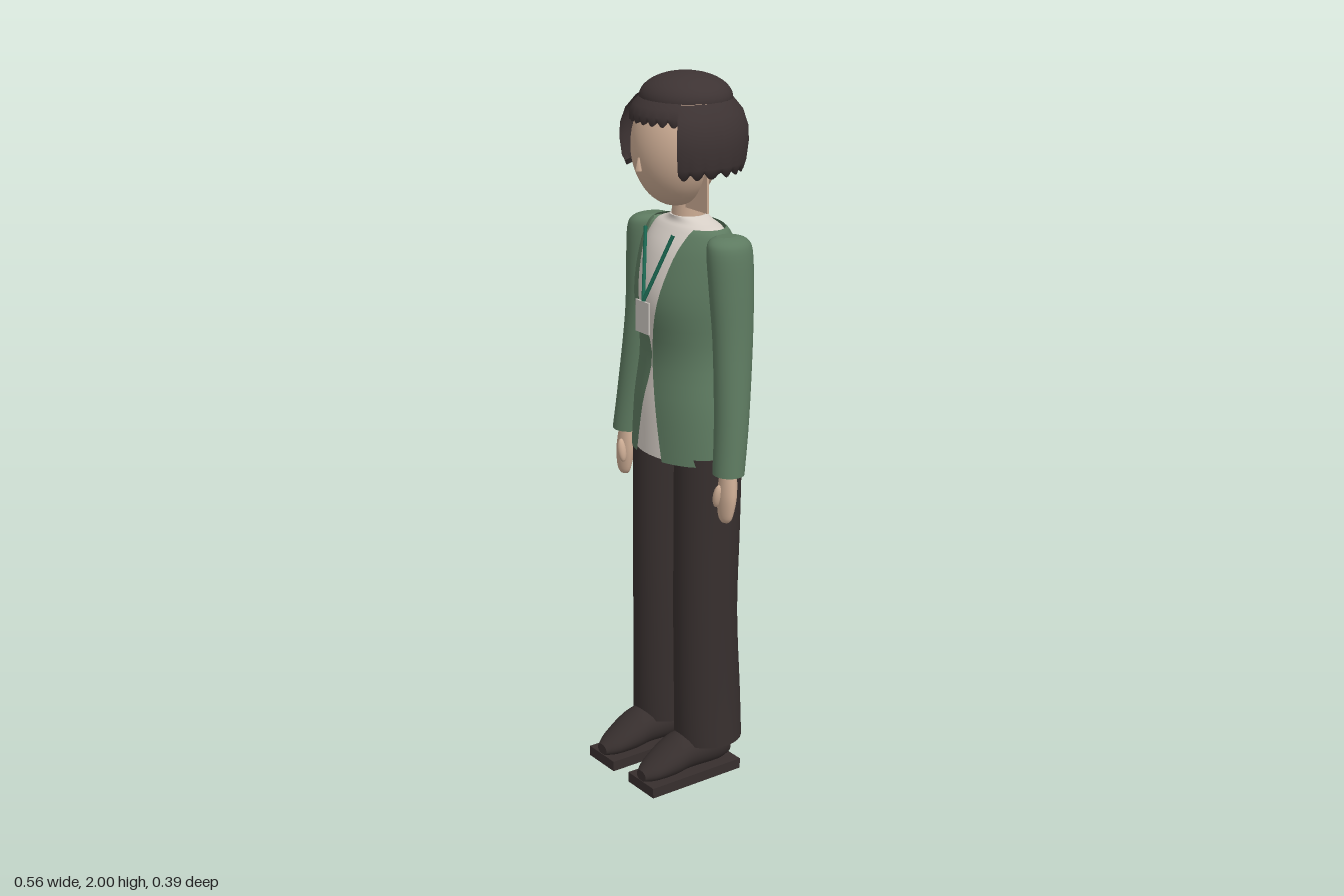
import * as THREE from 'three';

const mat = (name, color, side = THREE.FrontSide) => {
  const m = new THREE.MeshStandardMaterial({ color, side });
  m.name = name;
  return m;
};

const spline = (a, b, c, d, t) =>
  0.5 * (2 * b + (c - a) * t + (2 * a - 5 * b + 4 * c - d) * t * t + (3 * b - a - 3 * c + d) * t * t * t);

// Adds smooth in-between sections
function refine(rows, steps = 4) {
  const out = [], at = i => rows[Math.min(Math.max(i, 0), rows.length - 1)];
  for (let i = 0; i < rows.length - 1; i++)
    for (let k = 0; k < steps; k++)
      out.push(rows[i].map((v, c) => spline(at(i - 1)[c], v, at(i + 1)[c], at(i + 2)[c], k / steps)));
  out.push(rows[rows.length - 1]);
  return out;
}

// Skins elliptical sections [y, centreX, centreZ, radiusX, radiusZ, ...]; angle 0 faces the front
function loft(rows, { segs = 28, arc = () => [0, Math.PI * 2], open = false, caps = true, shape } = {}) {
  const pos = [], idx = [], cols = open ? segs + 1 : segs;
  const point = (row, i, j) => {
    const [a0, a1] = arc(row);
    const a = a0 + (a1 - a0) * j / segs;
    const p = [row[1] + row[3] * Math.sin(a), row[0], row[2] + row[4] * Math.cos(a)];
    return shape ? shape(p, a, row, i) : p;
  };
  rows.forEach((row, i) => { for (let j = 0; j < cols; j++) pos.push(...point(row, i, j)); });
  for (let i = 0; i < rows.length - 1; i++)
    for (let j = 0; j < segs; j++) {
      const a = i * cols + j, b = i * cols + (j + 1) % cols, c = a + cols, d = b + cols;
      idx.push(a, b, c, b, d, c);
    }
  if (caps && !open)
    for (const i of [0, rows.length - 1]) {
      const base = pos.length / 3, r = rows[i];
      for (let j = 0; j < segs; j++) pos.push(...point(r, i, j));
      pos.push(r[1], r[0], r[2]);
      for (let j = 0; j < segs; j++) {
        const a = base + j, b = base + (j + 1) % segs;
        i ? idx.push(a, b, base + segs) : idx.push(b, a, base + segs);
      }
    }
  const g = new THREE.BufferGeometry();
  g.setAttribute('position', new THREE.Float32BufferAttribute(pos, 3));
  g.setIndex(idx);
  g.computeVertexNormals();
  return g;
}

export function createModel() {
  const root = new THREE.Group();
  root.name = 'standingWoman';
  const skin = mat('skin', 0xcbab93);
  const hair = mat('hair', 0x3d3333, THREE.DoubleSide);
  const dark = mat('trousers', 0x372f2e);
  const green = mat('jacket', 0x5d7a60, THREE.DoubleSide);
  const cream = mat('blouse', 0xd6cec6);
  const teal = mat('lanyard', 0x1c6b54);
  const card = mat('badge', 0xc6c1bb);
  const add = (name, geo, material, x = 0, y = 0, z = 0) => {
    const m = new THREE.Mesh(geo, material);
    m.name = name;
    m.position.set(x, y, z);
    root.add(m);
    return m;
  };

  // Head, nose, jaw plate and neck
  add('head', new THREE.SphereGeometry(1, 32, 24).scale(0.124, 0.162, 0.115), skin, 0, 1.81, 0.005);
  add('nose', new THREE.CylinderGeometry(0.003, 0.011, 0.035, 4), skin, 0, 1.772, 0.122);
  add('jawPlate', new THREE.BoxGeometry(0.25, 0.15, 0.006), skin, 0, 1.72, -0.01);
  add('neck', new THREE.CylinderGeometry(0.043, 0.047, 0.14, 24), skin, 0, 1.65, -0.04);

  // Bobbed hair: crown, thick skirt round the sides and back, scalloped fringe
  const crown = new THREE.SphereGeometry(1, 40, 10, 0, Math.PI * 2, 0, Math.PI / 2);
  add('hairCrown', crown.scale(0.128, 0.066, 0.122), hair, 0, 1.934, -0.03);
  const skirt = [
    [1.90, 0, -0.03, 0.125, 0.125], [1.755, 0, -0.03, 0.13, 0.13], [1.742, 0, -0.03, 0.155, 0.15],
    [1.77, 0, -0.03, 0.164, 0.158], [1.82, 0, -0.03, 0.169, 0.165], [1.86, 0, -0.03, 0.167, 0.163],
    [1.90, 0, -0.03, 0.153, 0.15], [1.934, 0, -0.03, 0.128, 0.122],
  ];
  const scallop = (p, a, n, amount) => { p[1] += amount * (1 - Math.abs(Math.sin(n * a))); return p; };
  add('hairSides', loft(skirt, {
    segs: 120, open: true, arc: () => [0.8, Math.PI * 2 - 0.8],
    shape: (p, a, r, i) => {
      const c = Math.cos(a);
      if (c > 0) {
        p[0] = r[3] * Math.sign(Math.sin(a)) * Math.abs(Math.sin(a)) ** 0.8;
        p[2] = r[2] + r[4] * c ** 0.8;
      }
      return i === 1 || i === 2 ? scallop(p, a, 12, 0.018) : p;
    },
  }), hair);
  const fringe = [
    [1.92, 0, -0.03, 0.125, 0.132], [1.878, 0, -0.03, 0.138, 0.14], [1.876, 0, -0.03, 0.148, 0.15],
    [1.90, 0, -0.03, 0.147, 0.149], [1.92, 0, -0.03, 0.139, 0.14], [1.937, 0, -0.03, 0.125, 0.12],
  ];
  add('hairFringe', loft(fringe, {
    segs: 60, open: true, arc: () => [-0.82, 0.82],
    shape: (p, a, r, i) => (i === 1 || i === 2 ? scallop(p, a, 15, 0.016) : p),
  }), hair);

  // Blouse: closed body under the jacket, sloping in to the neck
  const blouse = [
    [0.96, 0, -0.04, 0.178, 0.133], [1.1, 0, -0.035, 0.163, 0.122], [1.25, 0, -0.035, 0.141, 0.107],
    [1.4, 0, -0.035, 0.15, 0.126], [1.52, 0, -0.04, 0.15, 0.106], [1.585, 0, -0.043, 0.126, 0.072],
    [1.605, 0, -0.043, 0.085, 0.055], [1.62, 0, -0.04, 0.05, 0.05],
  ];
  add('blouse', loft(refine(blouse), { segs: 40 }), cream);

  // Jacket: shell open at the front; last number is half the opening
  const jacket = [
    [0.955, 0, -0.04, 0.186, 0.14, 0.058], [1.1, 0, -0.035, 0.171, 0.13, 0.03], [1.25, 0, -0.035, 0.15, 0.116, 0.001],
    [1.4, 0, -0.035, 0.16, 0.135, 0.042], [1.52, 0, -0.04, 0.16, 0.115, 0.07], [1.58, 0, -0.042, 0.148, 0.087, 0.086],
    [1.597, 0, -0.043, 0.128, 0.074, 0.09],
  ];
  add('jacketBody', loft(refine(jacket), {
    segs: 60, open: true,
    arc: r => {
      const a = Math.asin(Math.max(r[5], 0) / r[3]);
      return [a, Math.PI * 2 - a];
    },
  }), green);

  // Lanyard and badge
  for (const s of [1, -1]) {
    const line = new THREE.LineCurve3(new THREE.Vector3(s * 0.063, 1.585, 0.057), new THREE.Vector3(0, 1.4, 0.11));
    add('lanyardStrap', new THREE.TubeGeometry(line, 1, 0.0055, 6), teal);
  }
  add('badge', new THREE.BoxGeometry(0.06, 0.088, 0.006), card, 0, 1.356, 0.112);

  for (const s of [1, -1]) {
    const side = s > 0 ? 'left' : 'right';
    const limb = rows => refine(rows.map(([y, x, ...rest]) => [y, s * x, ...rest]));

    // Sleeve
    add(side + 'Sleeve', loft(limb([
      [0.955, 0.236, 0, 0.045, 0.042], [1.1, 0.224, -0.018, 0.047, 0.047], [1.3, 0.203, -0.036, 0.049, 0.056],
      [1.45, 0.19, -0.04, 0.052, 0.064], [1.55, 0.181, -0.04, 0.052, 0.066], [1.58, 0.174, -0.04, 0.042, 0.055],
      [1.59, 0.168, -0.04, 0.022, 0.03],
    ])), green);

    // Hand and thumb
    add(side + 'Hand', loft(limb([
      [0.82, 0.238, 0.012, 0.014, 0.009], [0.835, 0.239, 0.012, 0.026, 0.014], [0.88, 0.239, 0.008, 0.034, 0.02],
      [0.92, 0.238, 0.004, 0.032, 0.022], [0.97, 0.237, 0, 0.024, 0.021],
    ])), skin);
    const thumb = add(side + 'Thumb', new THREE.SphereGeometry(1, 14, 10).scale(0.012, 0.034, 0.013), skin, s * 0.225, 0.893, 0.028);
    thumb.rotation.z = -s * 0.2;

    // Trouser leg
    add(side + 'TrouserLeg', loft(limb([
      [0.11, 0.102, -0.036, 0.093, 0.098], [0.25, 0.1, -0.034, 0.088, 0.098], [0.5, 0.098, -0.028, 0.085, 0.093],
      [0.75, 0.098, -0.032, 0.084, 0.097], [0.975, 0.098, -0.035, 0.086, 0.098],
    ])), dark);

    // Shoe, lofted upright and laid forward, and its flat sole
    const shoe = loft(limb([
      [-0.1, 0.098, -0.065, 0.03, 0.035], [-0.05, 0.098, -0.08, 0.055, 0.055], [0.05, 0.098, -0.085, 0.06, 0.055],
      [0.1, 0.098, -0.073, 0.06, 0.048], [0.16, 0.098, -0.054, 0.045, 0.03], [0.195, 0.098, -0.044, 0.022, 0.016],
    ])).rotateX(Math.PI / 2);
    add(side + 'Shoe', shoe, dark);
    add(side + 'Sole', new THREE.BoxGeometry(0.122, 0.03, 0.307), dark, s * 0.098, 0.015, 0.0435);
  }
  return root;
}
